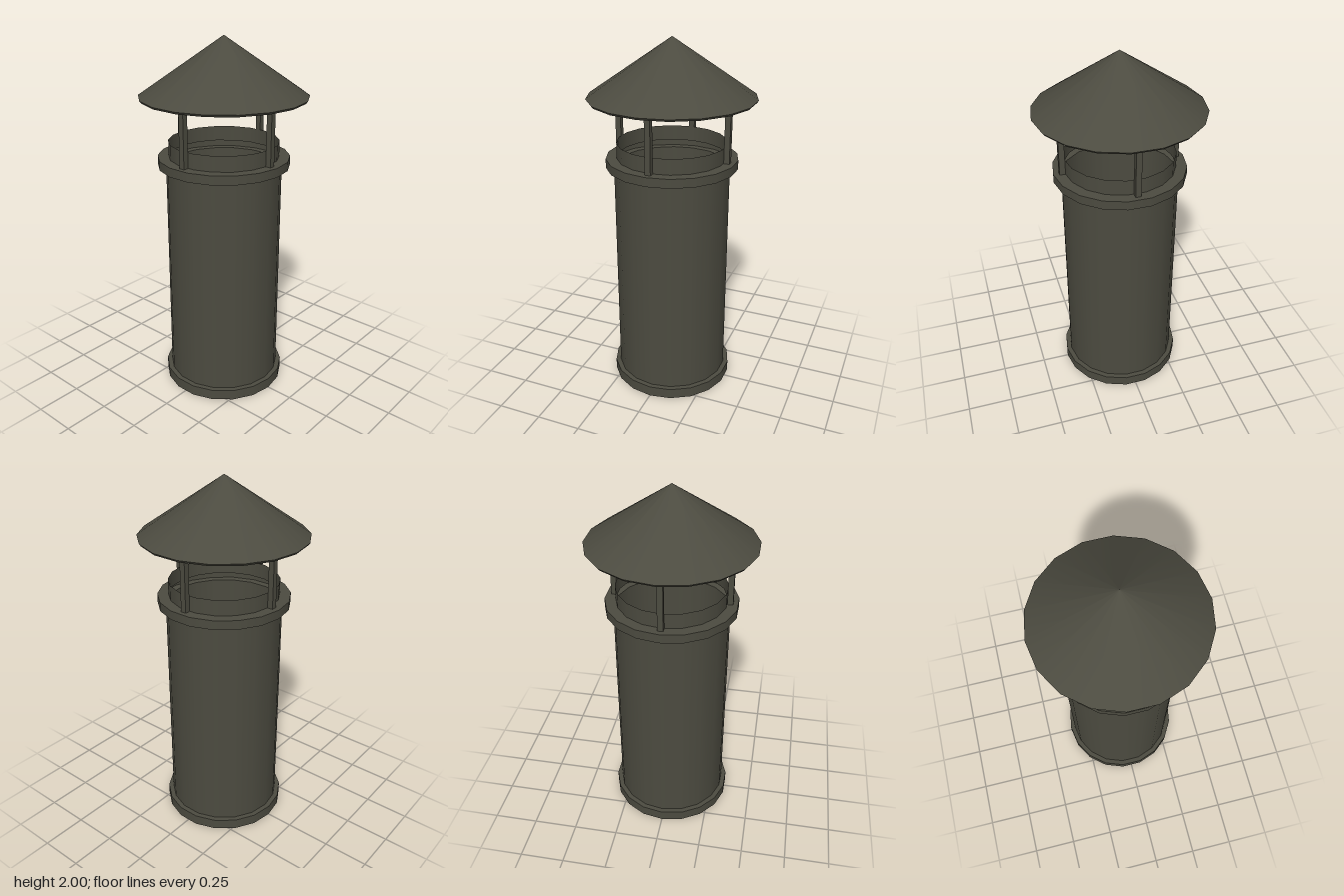
import * as THREE from 'three';

const SIDES = 18;

export function createModel() {
  const group = new THREE.Group();
  const metal = new THREE.MeshStandardMaterial({ color: 0x4c4b40, side: THREE.DoubleSide });
  metal.name = 'dark olive metal';

  const add = (name, geometry, x = 0, y = 0, z = 0) => {
    const mesh = new THREE.Mesh(geometry, metal);
    mesh.name = name;
    mesh.position.set(x, y, z);
    group.add(mesh);
  };

  // One open band of sheet metal, from (r0, y0) up or across to (r1, y1)
  const band = (name, r0, y0, r1, y1) => add(name, new THREE.LatheGeometry(
    [new THREE.Vector2(r0, y0), new THREE.Vector2(r1, y1)], SIDES, Math.PI / 2));

  // Hollow pipe with a foot ring, a top flange and an open collar
  band('footRingWall', 0.346, 0, 0.346, 0.06);
  band('footRingTop', 0.346, 0.06, 0.318, 0.06);
  band('pipe', 0.318, 0.06, 0.318, 1.31);
  band('flangeUnderside', 0.318, 1.31, 0.362, 1.31);
  band('flangeWall', 0.362, 1.31, 0.362, 1.36);
  band('flangeTop', 0.362, 1.36, 0.302, 1.36);
  band('collar', 0.302, 1.36, 0.302, 1.445);

  // Thin conical rain cap with a tapered rim and hollow underside
  band('capRim', 0.446, 1.678, 0.455, 1.69);
  band('capTop', 0.455, 1.69, 0, 2);
  band('capUnderside', 0, 1.985, 0.446, 1.678);

  // Four square posts reaching up into the cap
  for (let i = 0; i < 4; i++) {
    const a = i * Math.PI / 2;
    add('capPost', new THREE.BoxGeometry(0.031, 0.405, 0.031),
      0.315 * Math.cos(a), 1.5625, 0.315 * Math.sin(a));
  }
  return group;
}
